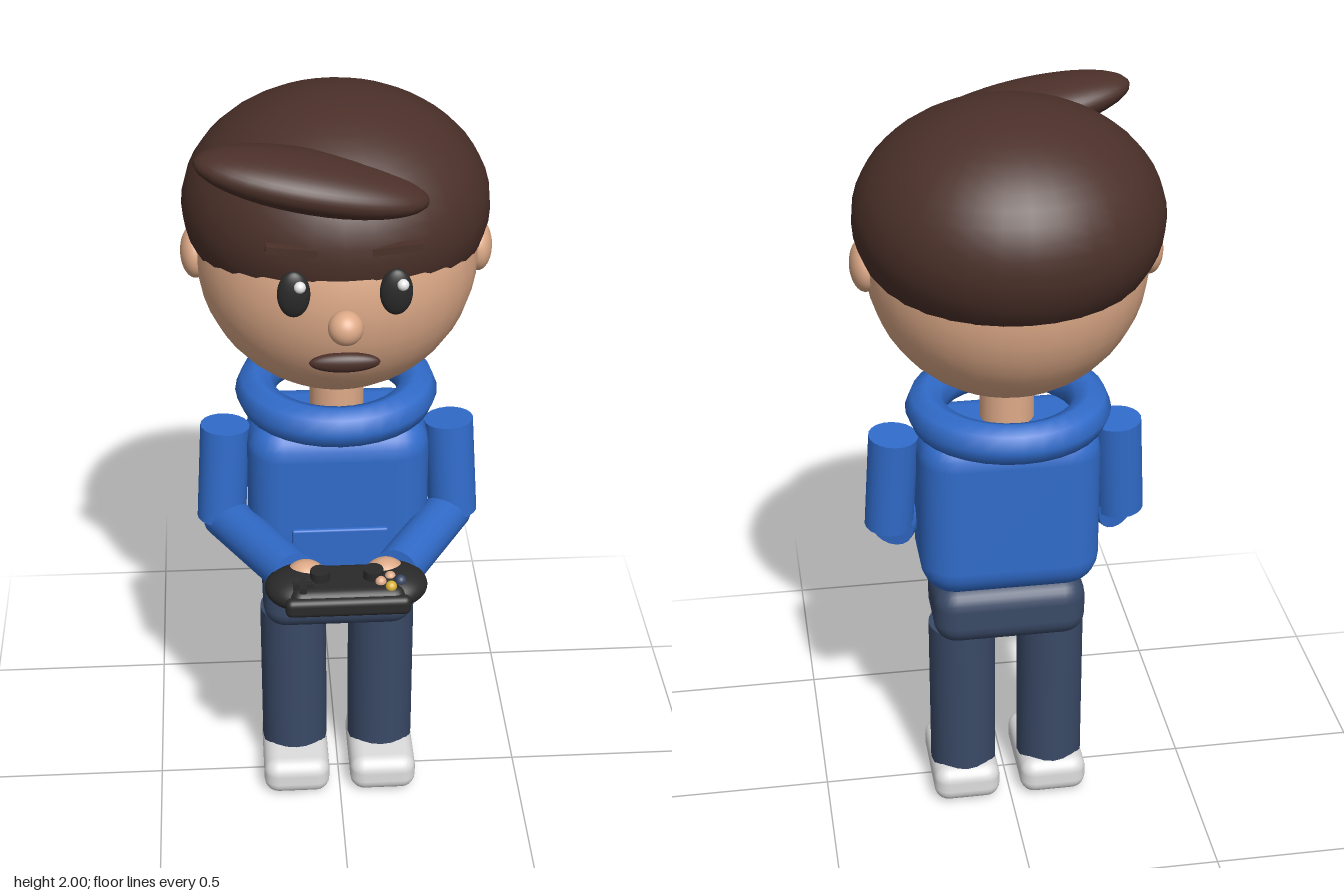
import * as THREE from 'three';
import { RoundedBoxGeometry } from 'three/addons/geometries/RoundedBoxGeometry.js';

const material = (name, color) => {
  const m = new THREE.MeshStandardMaterial({ color });
  m.name = name;
  return m;
};

export function createModel() {
  const skin = material('skin', 0xdeaa88);
  const hair = material('hair brown', 0x4b3029);
  const blue = material('hoodie blue', 0x316ccb);
  const denim = material('denim', 0x394966);
  const shoe = material('shoe grey', 0xdedede);
  const black = material('black', 0x2a2a2a);
  const white = material('white', 0xffffff);
  const yellow = material('yellow', 0xd9b23a);

  const model = new THREE.Group();
  model.name = 'figure';

  const add = (name, geometry, mat, x, y, z, parent = model) => {
    const mesh = new THREE.Mesh(geometry, mat);
    mesh.name = name;
    mesh.position.set(x, y, z);
    parent.add(mesh);
    return mesh;
  };
  // Ellipsoid with the given radii
  const ball = (name, mat, x, y, z, rx, ry = rx, rz = rx, parent = model) => {
    const mesh = add(name, new THREE.SphereGeometry(1, 32, 24), mat, x, y, z, parent);
    mesh.scale.set(rx, ry, rz);
    return mesh;
  };
  const block = (name, mat, x, y, z, w, h, d, r, parent = model) =>
    add(name, new RoundedBoxGeometry(w, h, d, 3, r), mat, x, y, z, parent);
  // Cylinder between two points
  const limb = (name, mat, from, to, r) => {
    const a = new THREE.Vector3(...from);
    const b = new THREE.Vector3(...to);
    const mid = a.clone().add(b).multiplyScalar(0.5);
    const mesh = add(name, new THREE.CylinderGeometry(r, r, a.distanceTo(b), 20), mat, mid.x, mid.y, mid.z);
    mesh.quaternion.setFromUnitVectors(new THREE.Vector3(0, 1, 0), b.sub(a).normalize());
    return mesh;
  };

  // Head and hair
  ball('head', skin, 0, 1.6, -0.055, 0.35);
  ball('hair', hair, 0, 1.72, -0.085, 0.38, 0.28, 0.375);
  ball('fringe', hair, -0.07, 1.885, 0.18, 0.28, 0.064, 0.125).rotation.z = -0.2;
  ball('nose', skin, 0, 1.572, 0.315, 0.042);
  ball('mouth', hair, 0, 1.46, 0.277, 0.085, 0.025, 0.021);

  // Torso, neck and hood
  limb('neck', skin, [0, 1.1, -0.055], [0, 1.32, -0.055], 0.07);
  block('torso', blue, 0, 0.92, -0.045, 0.47, 0.48, 0.29, 0.09);
  block('pocket', blue, 0, 0.79, 0.1, 0.25, 0.165, 0.02, 0.006);
  const hood = add('hoodCollar', new THREE.TorusGeometry(0.208, 0.053, 8, 32), blue, 0, 1.197, -0.075);
  hood.rotation.x = Math.PI / 2;
  block('hips', denim, 0, 0.605, -0.042, 0.405, 0.17, 0.235, 0.06);

  // Paired parts
  for (const s of [-1, 1]) {
    const side = s > 0 ? 'left' : 'right';
    ball(side + 'Ear', skin, s * 0.35, 1.6, -0.06, 0.037, 0.066, 0.066);
    ball(side + 'Eye', black, s * 0.12, 1.648, 0.284, 0.039, 0.059, 0.021);
    ball(side + 'EyeGlint', white, s * 0.12 + 0.014, 1.674, 0.302, 0.014);
    const brow = add(side + 'Eyebrow', new THREE.BoxGeometry(0.12, 0.018, 0.024), hair, s * 0.124, 1.755, 0.273);
    brow.rotation.z = s * 0.12;

    limb(side + 'UpperArm', blue, [s * 0.29, 1.113, -0.038], [s * 0.306, 0.845, -0.022], 0.064);
    limb(side + 'Forearm', blue, [s * 0.3, 0.84, -0.03], [s * 0.13, 0.868, 0.3], 0.06);
    ball(side + 'Hand', skin, s * 0.1, 0.854, 0.327, 0.062, 0.07, 0.056);

    limb(side + 'Leg', denim, [s * 0.12, 0.09, -0.042], [s * 0.12, 0.535, -0.042], 0.09);
    block(side + 'Shoe', shoe, s * 0.12, 0.053, -0.01, 0.182, 0.106, 0.285, 0.04);
  }

  // Game controller
  const pad = new THREE.Group();
  pad.name = 'gameController';
  model.add(pad);
  block('controllerBody', black, 0, 0.868, 0.37, 0.29, 0.07, 0.15, 0.03, pad);
  block('controllerFrontBar', black, 0, 0.866, 0.44, 0.31, 0.05, 0.034, 0.016, pad);
  for (const s of [-1, 1]) {
    ball('controllerGrip', black, s * 0.117, 0.868, 0.352, 0.086, 0.045, 0.082, pad);
    add('thumbStick', new THREE.CylinderGeometry(0.025, 0.025, 0.03, 16), black, s * 0.066, 0.912, 0.37, pad);
  }
  add('directionPadAcross', new THREE.BoxGeometry(0.05, 0.02, 0.016), black, -0.11, 0.905, 0.405, pad);
  add('directionPadAlong', new THREE.BoxGeometry(0.016, 0.02, 0.05), black, -0.11, 0.905, 0.405, pad);
  for (const [x, z, mat] of [[0.108, 0.375, skin], [0.083, 0.395, skin], [0.132, 0.393, denim], [0.107, 0.417, yellow]]) {
    ball('controllerButton', mat, x, 0.905, z, 0.014, 0.014, 0.014, pad);
  }

  return model;
}
